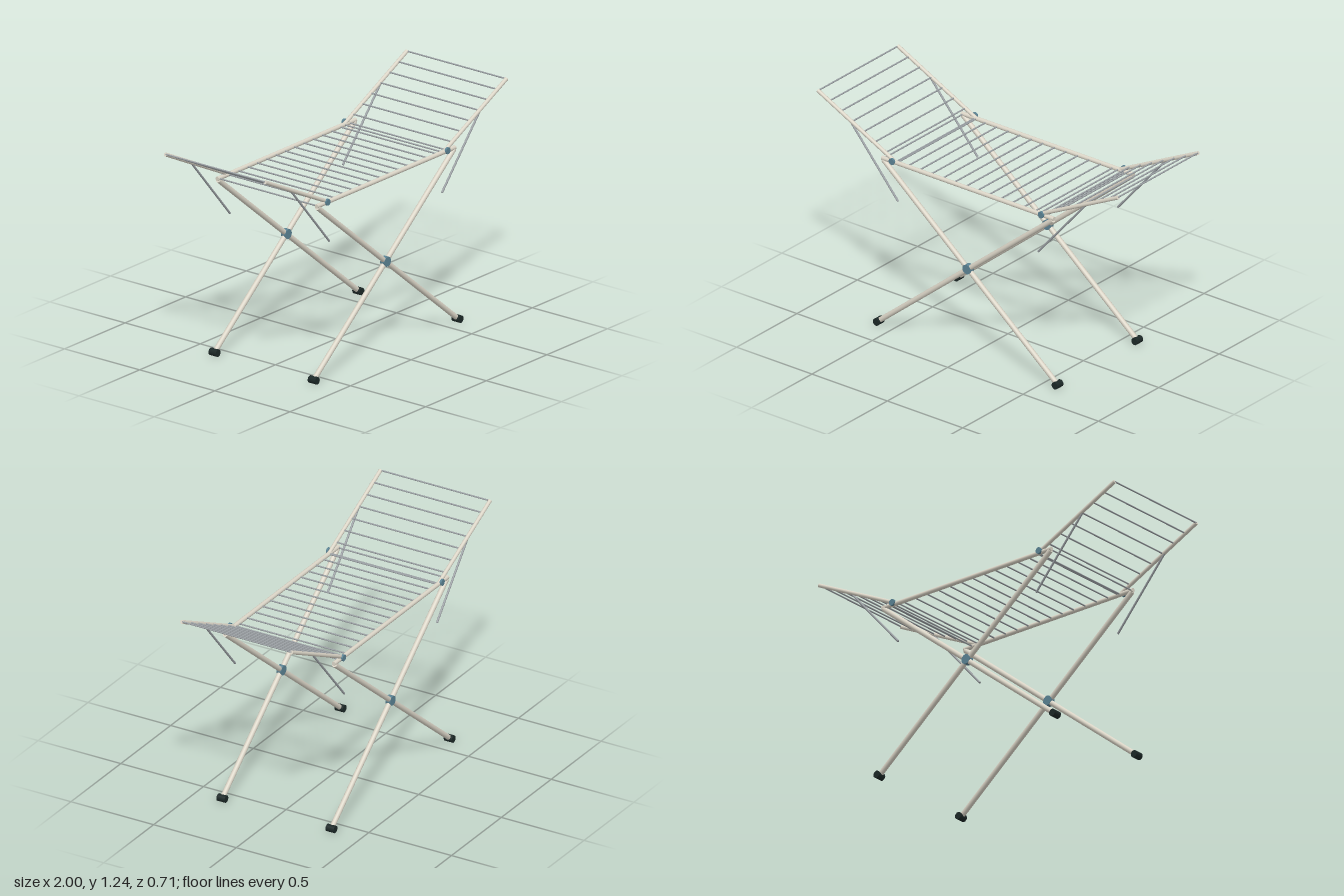
import * as THREE from 'three';

const mat = (name, color) => {
  const m = new THREE.MeshStandardMaterial({ color });
  m.name = name;
  return m;
};

export function createModel() {
  const root = new THREE.Group();
  root.name = 'dryingRack';
  const cream = mat('creamTube', 0xdad4c6);
  const steel = mat('steelWire', 0x9a9fa3);
  const blue = mat('blueJoint', 0x5b8394);
  const black = mat('blackRubber', 0x1c2827);

  // Round bar between two points
  const bar = (name, a, b, r, material, sides = 16) => {
    const p = new THREE.Vector3(...a), q = new THREE.Vector3(...b);
    const dir = q.clone().sub(p);
    const mesh = new THREE.Mesh(new THREE.CylinderGeometry(r, r, dir.length(), sides), material);
    mesh.position.copy(p).add(q).multiplyScalar(0.5);
    mesh.quaternion.setFromUnitVectors(new THREE.Vector3(0, 1, 0), dir.normalize());
    mesh.name = name;
    root.add(mesh);
  };
  // Bar running across the rack, along z
  const crossBar = (name, x, y, z, half, r, material, sides) =>
    bar(name, [x, y, z - half], [x, y, z + half], r, material, sides);

  const side = 0.33;

  for (const s of [-1, 1]) {
    const z = s * side;
    // Centre rail and the pivot where the legs cross
    bar('centreRail', [-0.57, 0.97, z], [0.57, 0.97, z], 0.012, cream);
    crossBar('legPivot', 0, 0.505, z, 0.0146, 0.027, blue);

    for (const d of [-1, 1]) {
      // Crossed legs with rubber feet
      bar('leg', [d * 0.593, 0.02, z], [-d * 0.562, 0.962, z], 0.014, cream);
      crossBar('foot', d * 0.593, 0.02, z, 0.0245, 0.02, black);
      // Folding wing tubes, outer hinge discs and support struts
      bar('wingTube', [d * 0.475, 0.97, s * 0.331], [d * 0.996, 1.227, s * 0.331], 0.0105, cream);
      crossBar('wingHinge', d * 0.495, 0.976, s * 0.343, 0.006, 0.018, blue);
      bar('wingStrut', [d * 0.78, 1.115, z], [d * 0.465, 0.75, z], 0.0058, steel, 10);
    }
  }

  // Hanging wires of the centre section
  for (let i = 0; i < 15; i++)
    crossBar('centreWire', -0.56 + i * 0.0766, 0.97, 0, side, 0.0042, steel, 10);

  // Hanging wires of both wings
  for (const d of [-1, 1])
    for (let i = 0; i < 8; i++)
      crossBar('wingWire', d * (0.994 - i * 0.0747), 1.227 - i * 0.0365, 0, side, 0.0042, steel, 10);

  return root;
}
